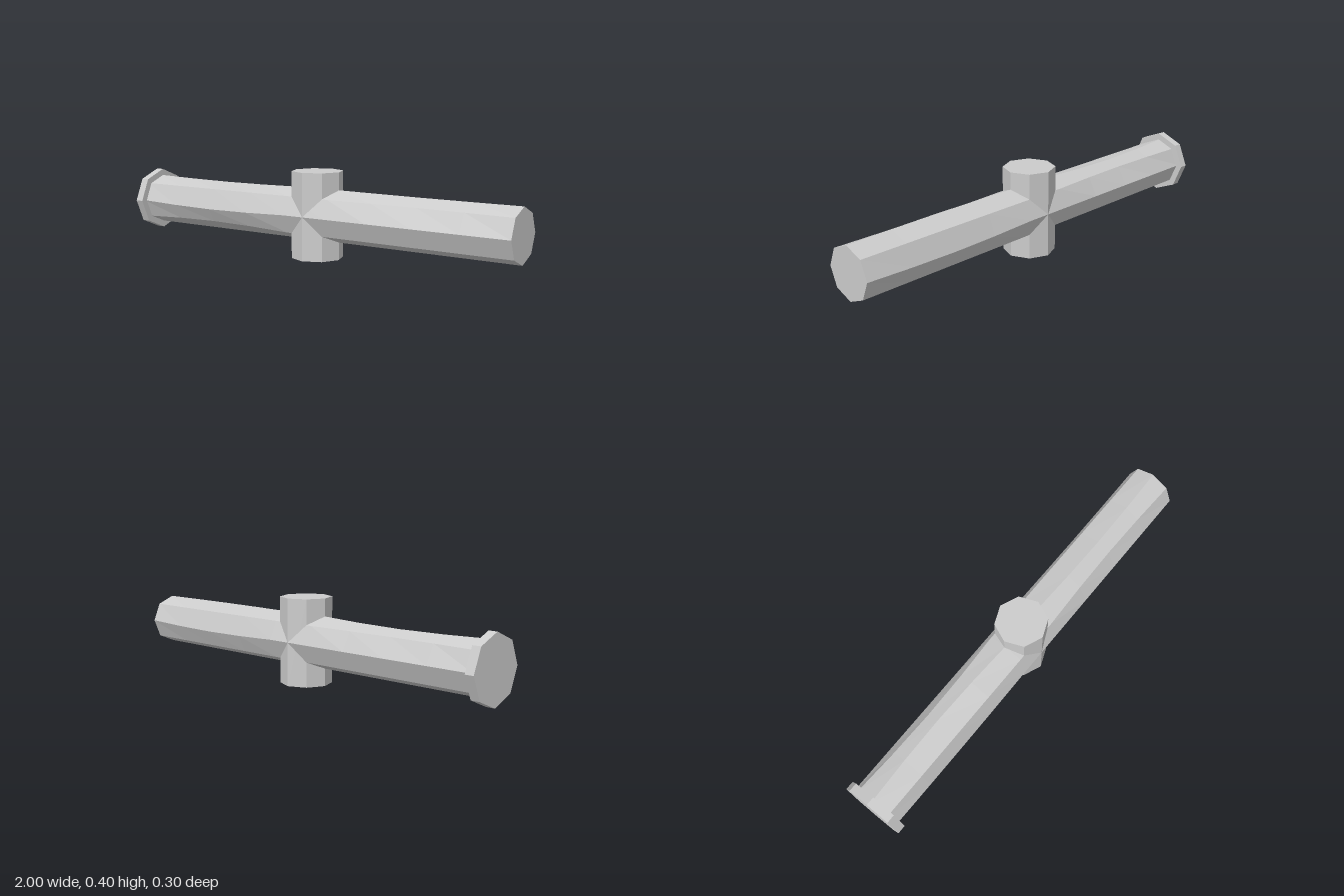
import * as THREE from 'three';

const SIDES = 8, R = 0.118, AXIS_Y = 0.198, CROSS_X = 0.01;
const material = new THREE.MeshStandardMaterial({ color: 0xcccccc, flatShading: true });

// Octagonal bar lying along x; dents maps corner number (0 = front, 2 = top) to [dy, dz] at mid-length
function bar(name, x0, x1, radius, segments = 1, dents = {}) {
  const geometry = new THREE.CylinderGeometry(radius, radius, x1 - x0, SIDES, segments);
  geometry.rotateZ(Math.PI / 2).translate((x0 + x1) / 2, 0, 0);
  const p = geometry.attributes.position;
  for (let i = 0; i < p.count; i++) {
    const corner = (Math.round(Math.atan2(p.getY(i), p.getZ(i)) / (Math.PI / 4)) + SIDES) % SIDES;
    const dent = dents[corner];
    if (!dent) continue;
    const amount = Math.sin(Math.PI * (p.getX(i) - x0) / (x1 - x0));
    p.setY(i, p.getY(i) + dent[0] * amount);
    p.setZ(i, p.getZ(i) + dent[1] * amount);
  }
  geometry.computeVertexNormals();
  const mesh = new THREE.Mesh(geometry, material);
  mesh.name = name;
  mesh.position.y = AXIS_Y;
  return mesh;
}

export function createModel() {
  const group = new THREE.Group();
  group.name = 'pipeCross';

  // Horizontal arms, slightly dented along their length, with a straight piece at the crossing
  group.add(
    bar('rightArm', -0.98, -0.1, R, 4, { 0: [-0.01, 0], 2: [-0.008, -0.015], 3: [0, 0.014], 7: [0.012, 0] }),
    bar('crossing', -0.1, 0.12, R),
    bar('leftArm', 0.12, 1, R, 4, { 1: [0, -0.011], 2: [0, 0.01], 4: [-0.01, 0] })
  );

  // Wider collar closing one end
  group.add(bar('endFlange', -1, -0.96, 0.149));

  // Short vertical stub through the crossing
  const stub = new THREE.Mesh(new THREE.CylinderGeometry(R, R, AXIS_Y * 2, SIDES), material);
  stub.name = 'verticalStub';
  stub.position.set(CROSS_X, AXIS_Y, 0);
  group.add(stub);

  return group;
}
